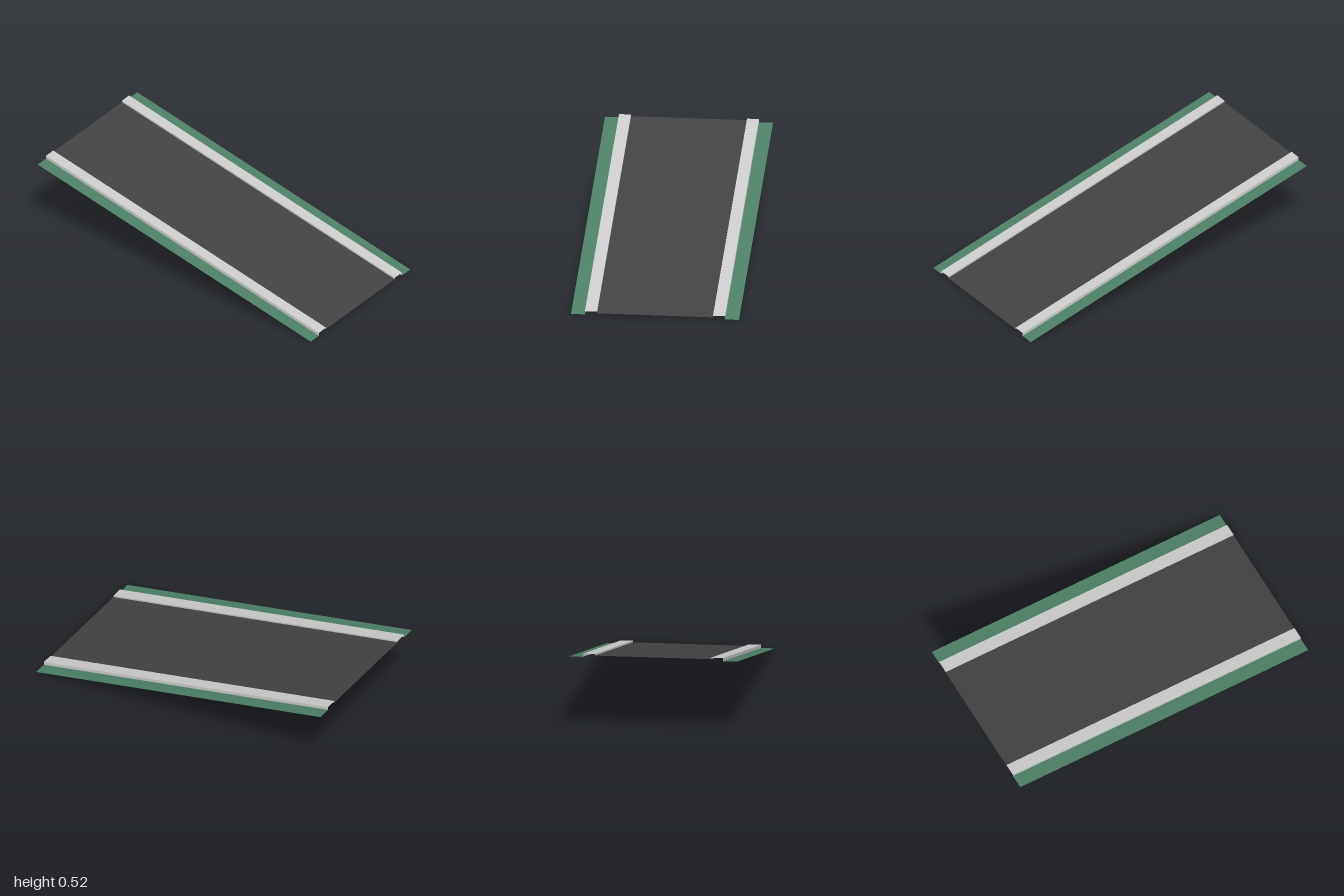
import * as THREE from 'three';

const RISE = 0.5; // height gained from the front edge to the back edge

// Sloped sheet swept along z between two points (x, y) of the road's section
function strip(name, [xa, ya], [xb, yb], color) {
  const g = new THREE.BufferGeometry();
  g.setAttribute('position', new THREE.Float32BufferAttribute([
    xa, ya, 1, xb, yb, 1, xb, yb + RISE, -1, xa, ya + RISE, -1,
  ], 3));
  g.setIndex([0, 1, 2, 0, 2, 3]);
  g.computeVertexNormals();
  const mesh = new THREE.Mesh(g, new THREE.MeshStandardMaterial({
    color, side: THREE.DoubleSide, flatShading: true,
  }));
  mesh.name = name;
  return mesh;
}

export function createModel() {
  const model = new THREE.Group();
  model.name = 'roadRamp';

  // Road surface
  model.add(strip('roadSurface', [-0.345, 0.01], [0.345, 0.01], 0x424242));

  // Kerb and grass verge on each side, ordered left to right to face up
  for (const [side, s] of [['left', 1], ['right', -1]]) {
    const add = (name, a, b, color) => {
      const p = [s * a[0], a[1]], q = [s * b[0], b[1]];
      return s > 0 ? strip(name, p, q, color) : strip(name, q, p, color);
    };
    const kerb = new THREE.Group();
    kerb.name = side + 'Kerb';
    kerb.add(
      add('kerbInnerFace', [0.345, 0.01], [0.345, 0.02], 0xcccccc),
      add('kerbTop', [0.345, 0.02], [0.417, 0.02], 0xcccccc),
      add('kerbOuterFace', [0.417, 0.02], [0.417, 0], 0xcccccc),
    );
    model.add(kerb, add(side + 'Verge', [0.417, 0], [0.5, 0], 0x4d7f66));
  }
  return model;
}
